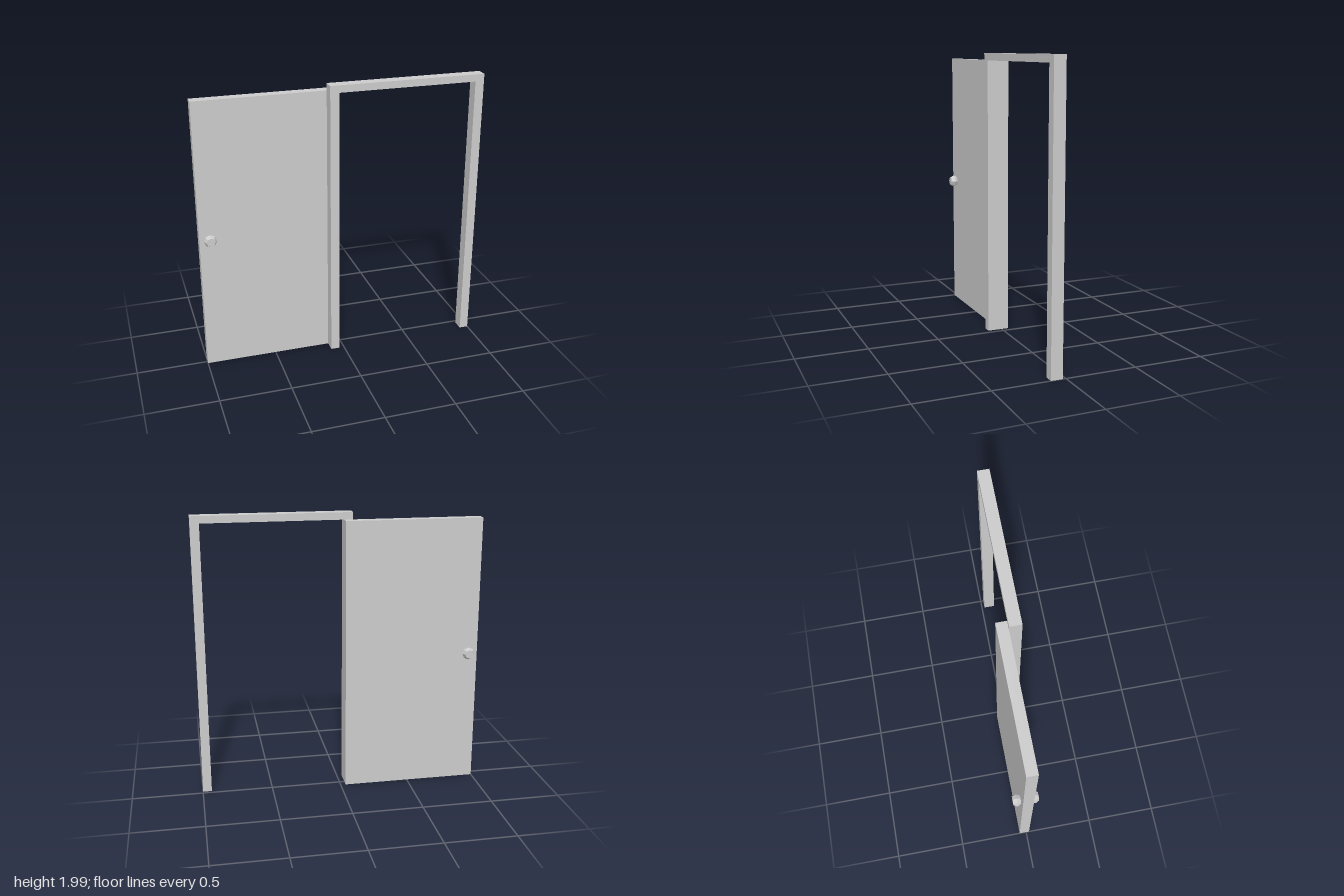
import * as THREE from 'three';

const material = new THREE.MeshStandardMaterial({ color: 0xcccccc, flatShading: true });

function addMesh(parent, name, geometry, x = 0, y = 0, z = 0) {
  const mesh = new THREE.Mesh(geometry, material);
  mesh.name = name;
  mesh.position.set(x, y, z);
  parent.add(mesh);
  return mesh;
}

export function createModel() {
  const model = new THREE.Group();
  model.name = 'slidingDoor';

  const height = 1.99, openingTop = 1.94, seam = 0.022;

  // Door frame: two posts and a lintel as one arch, open at the bottom
  const arch = new THREE.Shape([
    [-0.098, 0], [-0.036, 0], [-0.036, openingTop], [0.937, openingTop],
    [0.937, 0], [1, 0], [1, height], [-0.098, height],
  ].map(([x, y]) => new THREE.Vector2(x, y)));
  addMesh(model, 'doorFrame',
    new THREE.ExtrudeGeometry(arch, { depth: 0.082, bevelEnabled: false }), 0, 0, seam);

  // Door panel, slid open behind the frame
  const door = new THREE.Group();
  door.name = 'door';
  model.add(door);
  const width = 0.964, thickness = 0.073;
  addMesh(door, 'doorPanel', new THREE.BoxGeometry(width, openingTop, thickness),
    -1 + width / 2, openingTop / 2, seam - thickness / 2);

  // Faceted knobs, one on each side of the panel
  const knobProfile = [[0, 0], [0.031, 0], [0.045, 0.027], [0.031, 0.054], [0, 0.054]]
    .map(([r, h]) => new THREE.Vector2(r, h));
  for (const side of [1, -1]) {
    const knob = addMesh(door, side > 0 ? 'frontKnob' : 'backKnob',
      new THREE.LatheGeometry(knobProfile, 8),
      -0.928, 0.97, side > 0 ? seam - 0.004 : seam - thickness);
    knob.rotation.x = side * Math.PI / 2;
  }

  return model;
}
